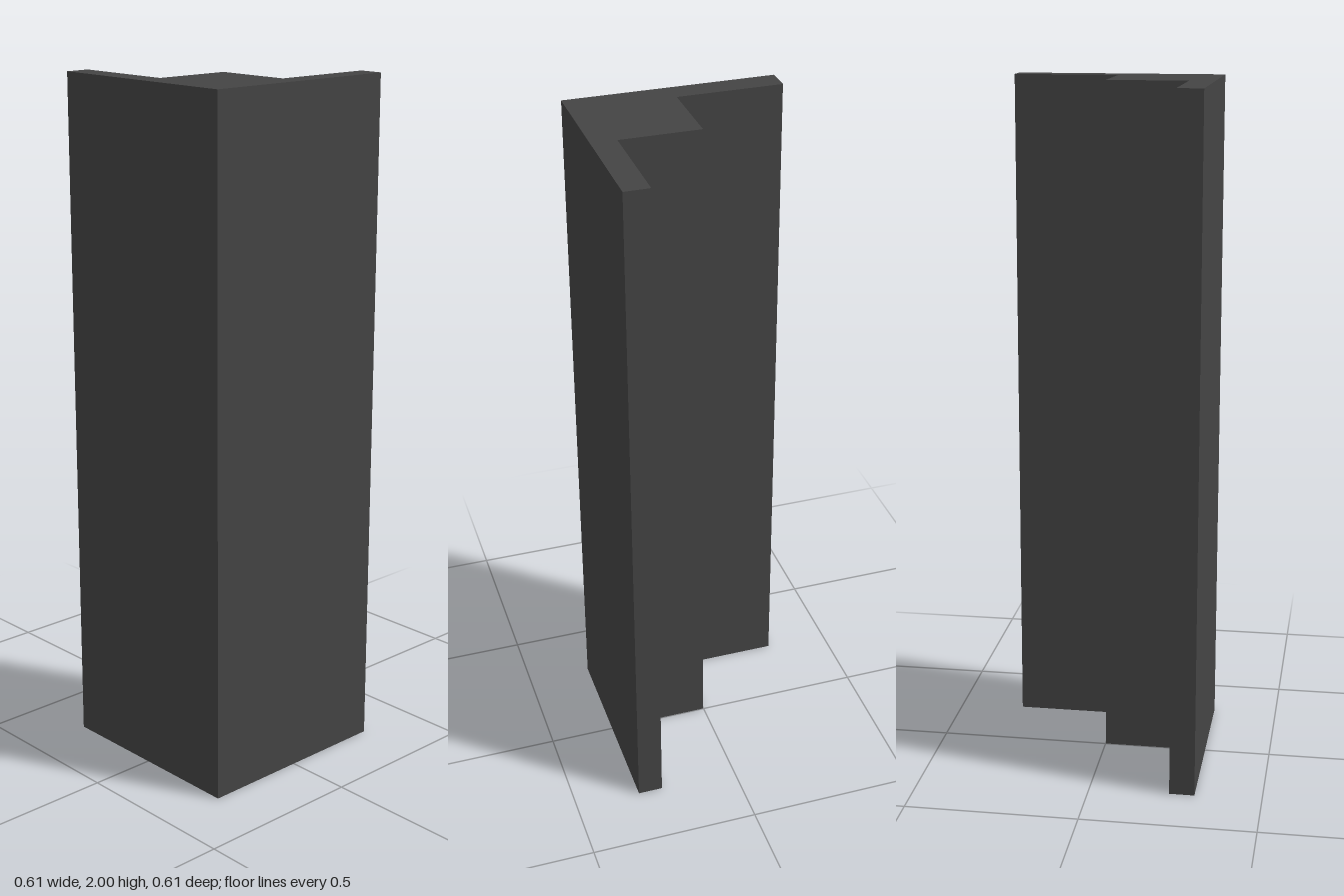
import * as THREE from 'three';

export function createModel() {
  const group = new THREE.Group();
  group.name = 'cornerPost';

  const height = 2;
  const half = 0.306;  // half the overall width and depth
  const inner = 0.233; // inside face of the thin flanges
  const core = 0.001;  // inner corner of the solid square core

  // Plan outline in x and -z: solid corner core with a thin flange along each wall
  const outline = [
    [-half, -half], [half, -half], [half, half], [inner, half],
    [inner, -core], [core, -core], [core, -inner], [-half, -inner],
  ].map(([x, y]) => new THREE.Vector2(x, y));

  // Extrude upwards to full height
  const geometry = new THREE.ExtrudeGeometry(new THREE.Shape(outline), {
    depth: height,
    bevelEnabled: false,
  });
  geometry.rotateX(-Math.PI / 2);

  const material = new THREE.MeshStandardMaterial({ color: 0x444444 });
  const profile = new THREE.Mesh(geometry, material);
  profile.name = 'flangedCornerProfile';
  group.add(profile);

  return group;
}
